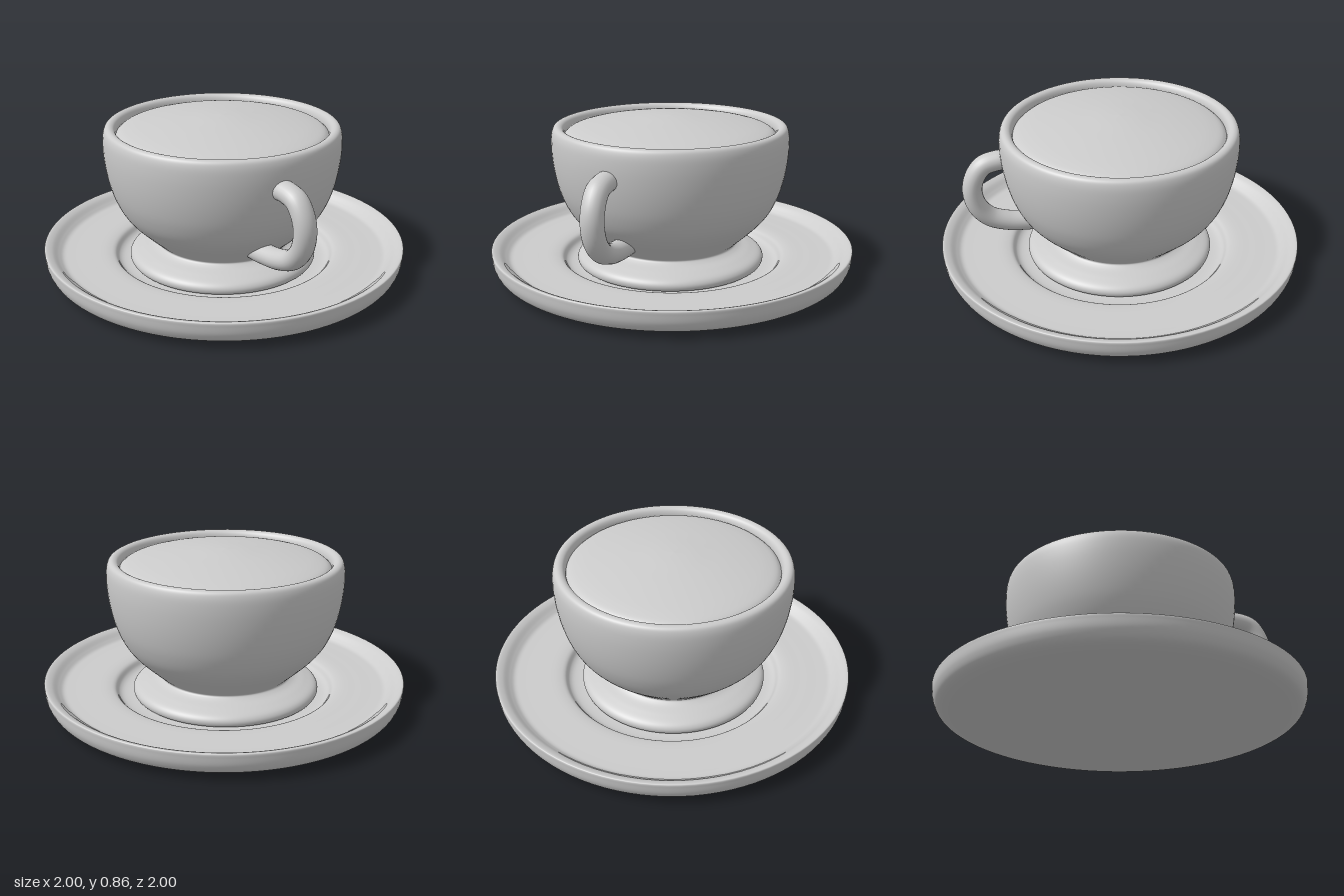
import * as THREE from 'three';

const material = new THREE.MeshStandardMaterial({ color: 0xcccccc });

// Smooth curve through [x, y, z] points
const smooth = (pts) =>
  new THREE.CatmullRomCurve3(pts.map(([x, y, z = 0]) => new THREE.Vector3(x, y, z)), false, 'centripetal');

// Turned part: profile [radius, height] runs from the bottom outwards, up and back in
function turned(name, profile, samples) {
  const pts = smooth(profile).getPoints(samples).map((p) => new THREE.Vector2(Math.max(p.x, 0), p.y));
  const mesh = new THREE.Mesh(new THREE.LatheGeometry(pts, 96), material);
  mesh.name = name;
  return mesh;
}

export function createModel() {
  const model = new THREE.Group();
  model.name = 'cupAndSaucer';

  // Saucer: flat underside, upright rim, sunken well for the foot
  model.add(turned('saucer', [
    [0, 0], [0.4, 0.003], [0.8, 0.012], [0.92, 0.022], [0.97, 0.045], [0.993, 0.085],
    [1, 0.13], [1, 0.152], [0.993, 0.155], [0.96, 0.143], [0.925, 0.115], [0.9, 0.1],
    [0.86, 0.097], [0.75, 0.097], [0.65, 0.095], [0.615, 0.085], [0.59, 0.055],
    [0.56, 0.042], [0.4, 0.04], [0, 0.04],
  ], 140));

  const cup = new THREE.Group();
  cup.name = 'cup';
  cup.position.z = 0.01;
  model.add(cup);

  // Bowl with flared foot, narrow waist and rounded lip, closed inside
  cup.add(turned('bowl', [
    [0, 0.042], [0.49, 0.042], [0.515, 0.052], [0.52, 0.075], [0.505, 0.098], [0.45, 0.122],
    [0.39, 0.142], [0.37, 0.158], [0.39, 0.18], [0.45, 0.235], [0.515, 0.3], [0.56, 0.36],
    [0.598, 0.44], [0.622, 0.52], [0.64, 0.62], [0.647, 0.72], [0.642, 0.785], [0.63, 0.812],
    [0.61, 0.82], [0.588, 0.812], [0.575, 0.79], [0.57, 0.74], [0.55, 0.55], [0.45, 0.35],
    [0.25, 0.25], [0, 0.24],
  ], 160));

  // Domed foam filling the cup
  cup.add(turned('foam', [
    [0.575, 0.77], [0.55, 0.79], [0.5, 0.806], [0.42, 0.822], [0.3, 0.84],
    [0.2, 0.851], [0.1, 0.86], [0, 0.864],
  ], 40));

  // Loop handle, its ends buried in the bowl wall
  const path = smooth([
    [0.6, 0.645, 0.075], [0.66, 0.645, 0.075], [0.735, 0.625, 0.075], [0.785, 0.56, 0.074],
    [0.803, 0.48, 0.073], [0.782, 0.385, 0.072], [0.72, 0.31, 0.071], [0.62, 0.268, 0.07],
    [0.5, 0.25, 0.07], [0.41, 0.245, 0.07],
  ]);
  const handle = new THREE.Mesh(new THREE.TubeGeometry(path, 80, 0.054, 24), material);
  handle.name = 'handle';
  // Slightly wider across than it is thick
  const stretch = 1.13;
  handle.scale.z = stretch;
  cup.add(handle);

  return model;
}
